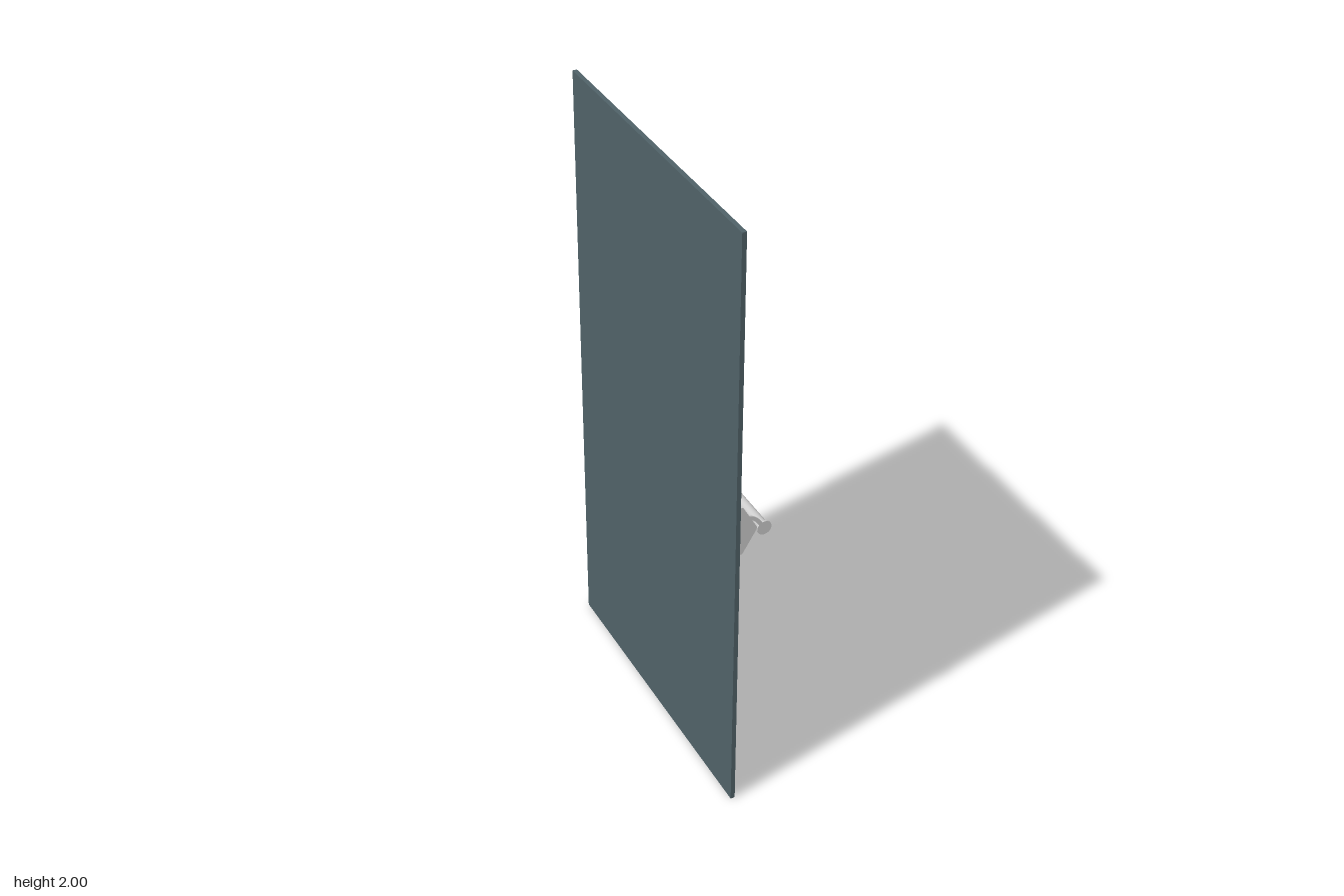
import * as THREE from 'three';

const grey = new THREE.MeshStandardMaterial({ color: 0xcccccc });
const slate = new THREE.MeshStandardMaterial({ color: 0x506268 });

// Outline in x/y, extruded along z and centred on z
function prism(name, shape, depth, z) {
  const geometry = new THREE.ExtrudeGeometry(shape, { depth, bevelEnabled: false, curveSegments: 12 });
  geometry.translate(0, 0, z - depth / 2);
  const mesh = new THREE.Mesh(geometry, grey);
  mesh.name = name;
  return mesh;
}

// Cylinder lying along z
function rod(name, radius, length, x, y, z) {
  const geometry = new THREE.CylinderGeometry(radius, radius, length, 32).rotateX(Math.PI / 2);
  const mesh = new THREE.Mesh(geometry, grey);
  mesh.name = name;
  mesh.position.set(x, y, z);
  return mesh;
}

export function createModel() {
  const model = new THREE.Group();
  model.name = 'pushBarDoor';
  const barX = 0.048, barY = 0.972, barZ = 0.003;

  // Door leaf
  const door = new THREE.Mesh(new THREE.BoxGeometry(0.014, 2, 1.036), slate);
  door.name = 'doorPanel';
  door.position.set(-0.067, 1, 0);
  model.add(door);

  // Wedge housing with a narrow rim at its back and a blunt nose
  const wedge = new THREE.Shape();
  wedge.moveTo(-0.056, 0.945);
  wedge.lineTo(-0.049, 0.945);
  wedge.lineTo(-0.005, 1.018);
  wedge.quadraticCurveTo(-0.002, 1.024, -0.005, 1.03);
  wedge.lineTo(-0.049, 1.11);
  wedge.lineTo(-0.056, 1.11);
  wedge.closePath();

  // Thin curved arm from the nose down to the bar
  const arm = new THREE.Shape();
  arm.moveTo(-0.012, 1.03);
  arm.lineTo(-0.004, 1.03);
  arm.bezierCurveTo(0.016, 1.026, 0.032, 1.012, 0.046, 0.984);
  arm.lineTo(0.034, 0.978);
  arm.bezierCurveTo(0.024, 1.002, 0.012, 1.014, -0.004, 1.016);
  arm.lineTo(-0.012, 1.016);
  arm.closePath();

  for (const [side, s] of [['left', 1], ['right', -1]]) {
    const bracket = new THREE.Group();
    bracket.name = side + 'EndBracket';
    bracket.add(prism('housing', wedge, 0.125, -0.002 + s * 0.45));
    bracket.add(prism('arm', arm, 0.005, barZ + s * 0.457));
    bracket.add(rod('endDisc', 0.023, 0.005, barX, barY, barZ + s * 0.457));
    model.add(bracket);
  }

  // Push bar
  model.add(rod('pushBar', 0.0165, 0.91, barX, barY, barZ));
  return model;
}
